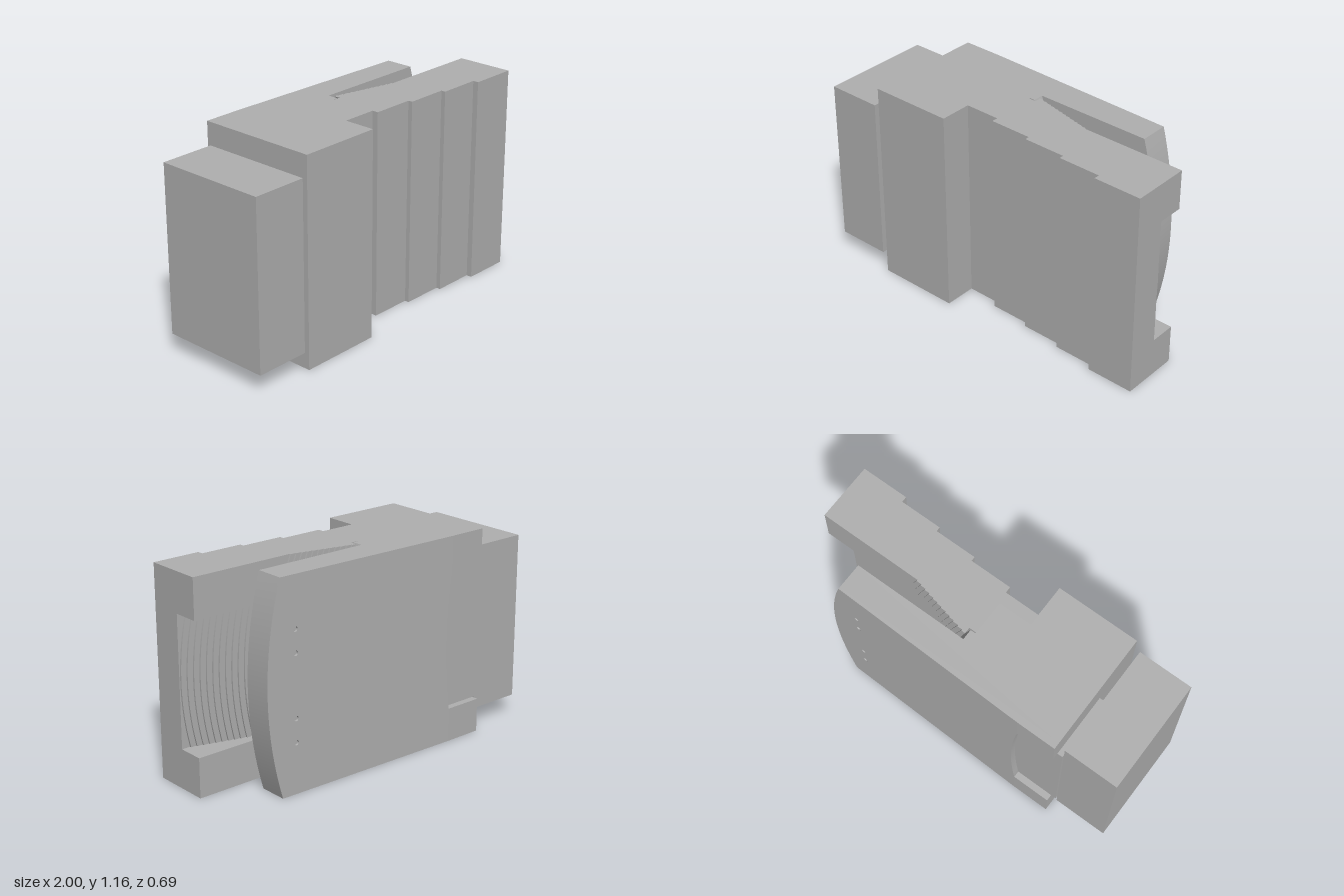
import * as THREE from 'three';
import { toCreasedNormals } from 'three/addons/utils/BufferGeometryUtils.js';

const H = 1.16, MID = H / 2;

export function createModel() {
  const group = new THREE.Group();
  const grey = new THREE.MeshStandardMaterial({ color: 0xb0b0b0 });
  grey.name = 'plain grey';

  const bow = (centre, sag, y) => centre - sag * ((y - MID) / MID) ** 2;

  // Slab whose left and right ends may bow towards +x around mid height
  function slab(name, [x0, x1], [y0, y1], [z0, z1], { sagL = 0, sagR = 0 } = {}) {
    const pts = [];
    const edge = (c, sag, from, to) => {
      const n = sag ? 24 : 1;
      for (let i = 0; i <= n; i++) {
        const y = from + (to - from) * i / n;
        pts.push(new THREE.Vector2(bow(c, sag, y), y));
      }
    };
    edge(x1, sagR, y0, y1);
    edge(x0, sagL, y1, y0);
    return add(name, new THREE.Shape(pts), z0, z1);
  }

  function add(name, shape, z0, z1, move) {
    const geo = new THREE.ExtrudeGeometry(shape, { depth: z1 - z0, bevelEnabled: false, curveSegments: 12 });
    geo.translate(0, 0, z0);
    if (move) move(geo.attributes.position);
    geo.computeVertexNormals();
    const mesh = new THREE.Mesh(toCreasedNormals(geo, 0.4), grey);
    mesh.name = name;
    group.add(mesh);
    return mesh;
  }

  const full = [0, H];

  // Side block and the neck joining it to the body
  slab('sideBlock', [-1, -0.69], [0.11, 1.05], [-0.295, 0.345]);
  slab('neck', [-0.69, -0.66], [0.19, 0.98], [-0.31, 0.05]);

  // Body core, with the bowed end of the slot and its narrow groove
  slab('core', [-0.66, 0.145], full, [-0.16, -0.1], { sagR: 0.115 });
  slab('coreFront', [-0.66, 0], full, [-0.1, 0.1]);
  slab('grip', [-0.66, -0.19], full, [0.1, 0.345]);

  // Stepped front
  [[-0.19, 0.01, 0.165], [0.01, 0.25, 0.2], [0.25, 0.49, 0.225], [0.49, 0.73, 0.25], [0.73, 1, 0.282]]
    .forEach(([a, b, z]) => slab('frontStep', [a, b], full, [0.1, z]));

  // Cheeks above and below the pocket
  for (const ys of [[0, 0.22], [0.94, H]]) slab('cheek', [0, 1], ys, [-0.045, 0.1]);

  // Fine bowed ridges: full height in the slot, then down into the pocket
  const upper = 12, lower = 15, sag = 0.115;
  for (let i = 0; i < upper; i++) {
    const dz = 0.085 / upper, z = -0.13 + i * dz;
    const groove = z < -0.1;
    slab('slotRidge', [groove ? 0.157 : 0, 0.18 + 0.34 * i / (upper - 1)], full, [z, z + dz],
      { sagL: groove ? sag : 0, sagR: sag });
  }
  for (let i = 0; i < lower; i++) {
    const dz = 0.145 / lower, z = -0.045 + i * dz;
    slab('pocketRidge', [0, 0.545 + 0.45 * i / (lower - 1)], [0.22, 0.94], [z, z + dz], { sagR: sag });
  }

  // Rear jaw
  const jawEnd = 0.775, jawSag = 0.085, crease = -0.44;
  slab('jaw', [-0.66, jawEnd], full, [-0.31, -0.16], { sagR: jawSag });
  for (const ys of [[0, 0.19], [0.98, H]]) slab('jawRim', [-0.66, crease], ys, [-0.347, -0.31]);

  // Tapered back plate with a bowed recess edge and four pin holes
  const plate = new THREE.Shape();
  plate.moveTo(crease, 0);
  for (let i = 0; i <= 24; i++) plate.lineTo(bow(jawEnd, jawSag, H * i / 24), H * i / 24);
  plate.lineTo(crease, H);
  for (let i = 0; i <= 16; i++) {
    const t = i / 16;
    plate.lineTo(crease + 0.12 * t * (1 - t), 0.98 - 0.79 * t);
  }
  plate.closePath();
  for (const y of [0.28, 0.41, 0.755, 0.88]) {
    const hole = new THREE.Path();
    hole.absarc(0.6, y, 0.014, 0, Math.PI * 2, true);
    plate.holes.push(hole);
  }
  add('backPlate', plate, -0.347, -0.31, (p) => {
    for (let i = 0; i < p.count; i++) {
      if (p.getZ(i) < -0.33) p.setZ(i, -0.347 + 0.03 * (p.getX(i) - crease) / (jawEnd - crease));
    }
  });

  return group;
}
